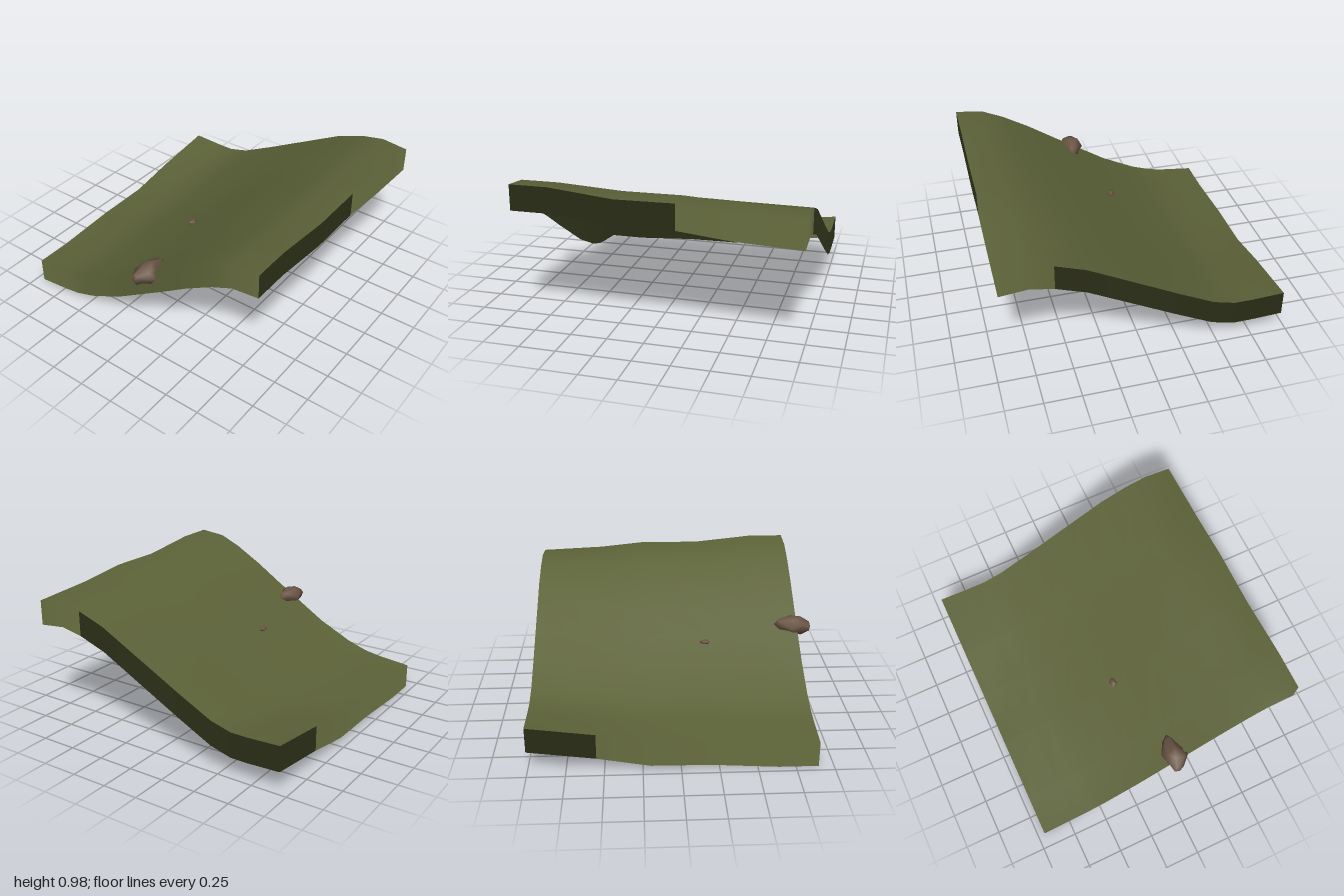
import * as THREE from 'three';

const grass = new THREE.MeshStandardMaterial({ color: 0x5c6238, side: THREE.DoubleSide });
grass.name = 'mossGreen';
const stone = new THREE.MeshStandardMaterial({ color: 0x6b5646 });
stone.name = 'stoneBrown';

// Hillside: front and back height profiles, blended from row to row
const XS = [-0.95, -0.72, -0.6, -0.45, -0.2, 0, 0.2, 0.4, 0.6, 0.76, 0.95];
const FRONT = [0.18, 0.205, 0.225, 0.275, 0.395, 0.52, 0.645, 0.775, 0.89, 0.96, 0.98];
const BACK = [0.335, 0.325, 0.325, 0.365, 0.49, 0.595, 0.7, 0.805, 0.875, 0.905, 0.885];
// each row: z, blend at the left end of the profile, blend at the right end
const ROWS = [[-1, 1, 1], [-0.55, 0.62, 0.79], [-0.2, 0.21, 0.42], [0.2, 0.18, 0.47], [0.64, 0, 0], [0.9, 0, 0]];
const SKIRT = 0.175;

function buildGeometry(positions, indices, normals) {
  const g = new THREE.BufferGeometry();
  g.setAttribute('position', new THREE.Float32BufferAttribute(positions, 3));
  g.setIndex(indices);
  if (normals) g.setAttribute('normal', new THREE.Float32BufferAttribute(normals, 3));
  else g.computeVertexNormals();
  return g;
}

function groundGeometry() {
  const pos = [], idx = [], n = XS.length;
  ROWS.forEach(([z, wl, wr], r) => XS.forEach((x, c) => {
    const w = THREE.MathUtils.lerp(wl, wr, (x + 0.95) / 1.9);
    pos.push(x, THREE.MathUtils.lerp(FRONT[c], BACK[c], w), z);
    if (r && c) {
      const d = r * n + c, b = d - n;
      idx.push(b - 1, d - 1, b, b, d - 1, d);
    }
  }));
  return buildGeometry(pos, idx);
}

// Hanging border that keeps the normals of the ground so the edge blends in
function skirtGeometry(ground) {
  const n = XS.length, m = ROWS.length, loop = [];
  for (let c = 0; c < n - 1; c++) loop.push((m - 1) * n + c);
  for (let r = m - 1; r > 0; r--) loop.push(r * n + n - 1);
  for (let c = n - 1; c > 0; c--) loop.push(c);
  for (let r = 0; r < m - 1; r++) loop.push(r * n);
  const p = ground.attributes.position, nm = ground.attributes.normal;
  const pos = [], nor = [], idx = [];
  loop.forEach((v, i) => {
    for (const drop of [0, SKIRT]) {
      pos.push(p.getX(v), p.getY(v) - drop, p.getZ(v));
      nor.push(nm.getX(v), nm.getY(v), nm.getZ(v));
    }
    const a = 2 * i, b = 2 * ((i + 1) % loop.length);
    idx.push(a + 1, b + 1, b, a + 1, b, a);
  });
  return buildGeometry(pos, idx, nor);
}

// Boulder: uneven rings along z, closed with a point at each end
function rockGeometry() {
  const sides = 7;
  const rings = [ // z, centre x, centre y, radius x, radius y, twist
    [-0.1, 0, 0, 0.04, 0.042, 0.2],
    [-0.01, -0.003, 0, 0.077, 0.074, 0.45],
    [0.055, 0.005, -0.005, 0.078, 0.066, 0],
    [0.115, -0.015, -0.008, 0.038, 0.036, 0.3],
  ];
  const pos = [], idx = [];
  rings.forEach(([z, cx, cy, rx, ry, twist], r) => {
    for (let s = 0; s < sides; s++) {
      const a = s / sides * Math.PI * 2 + twist, k = 1 + 0.07 * Math.sin(s * 2.4 + r);
      pos.push(cx + Math.cos(a) * rx * k, cy + Math.sin(a) * ry * k, z + 0.012 * Math.sin(s * 3.1 + r * 2));
      if (r) {
        const t = (s + 1) % sides, a0 = (r - 1) * sides, b0 = r * sides;
        idx.push(a0 + s, a0 + t, b0 + t, a0 + s, b0 + t, b0 + s);
      }
    }
  });
  const tail = pos.length / 3, last = (rings.length - 1) * sides;
  pos.push(0.01, 0, -0.14, -0.015, -0.01, 0.128);
  for (let s = 0; s < sides; s++) {
    const t = (s + 1) % sides;
    idx.push(tail, t, s, tail + 1, last + s, last + t);
  }
  return buildGeometry(pos, idx);
}

export function createModel() {
  const model = new THREE.Group();
  model.name = 'hillside';
  const add = (name, geometry, material) => {
    const mesh = new THREE.Mesh(geometry, material);
    mesh.name = name;
    model.add(mesh);
    return mesh;
  };
  const ground = groundGeometry();
  add('ground', ground, grass);
  add('groundSkirt', skirtGeometry(ground), grass);

  const rock = rockGeometry();
  add('largeRock', rock, stone).position.set(0.078, 0.57, 0.87);
  const pebble = add('smallRock', rock, stone);
  pebble.position.set(-0.073, 0.513, 0.212);
  pebble.scale.set(0.3, 0.22, 0.27);
  return model;
}
